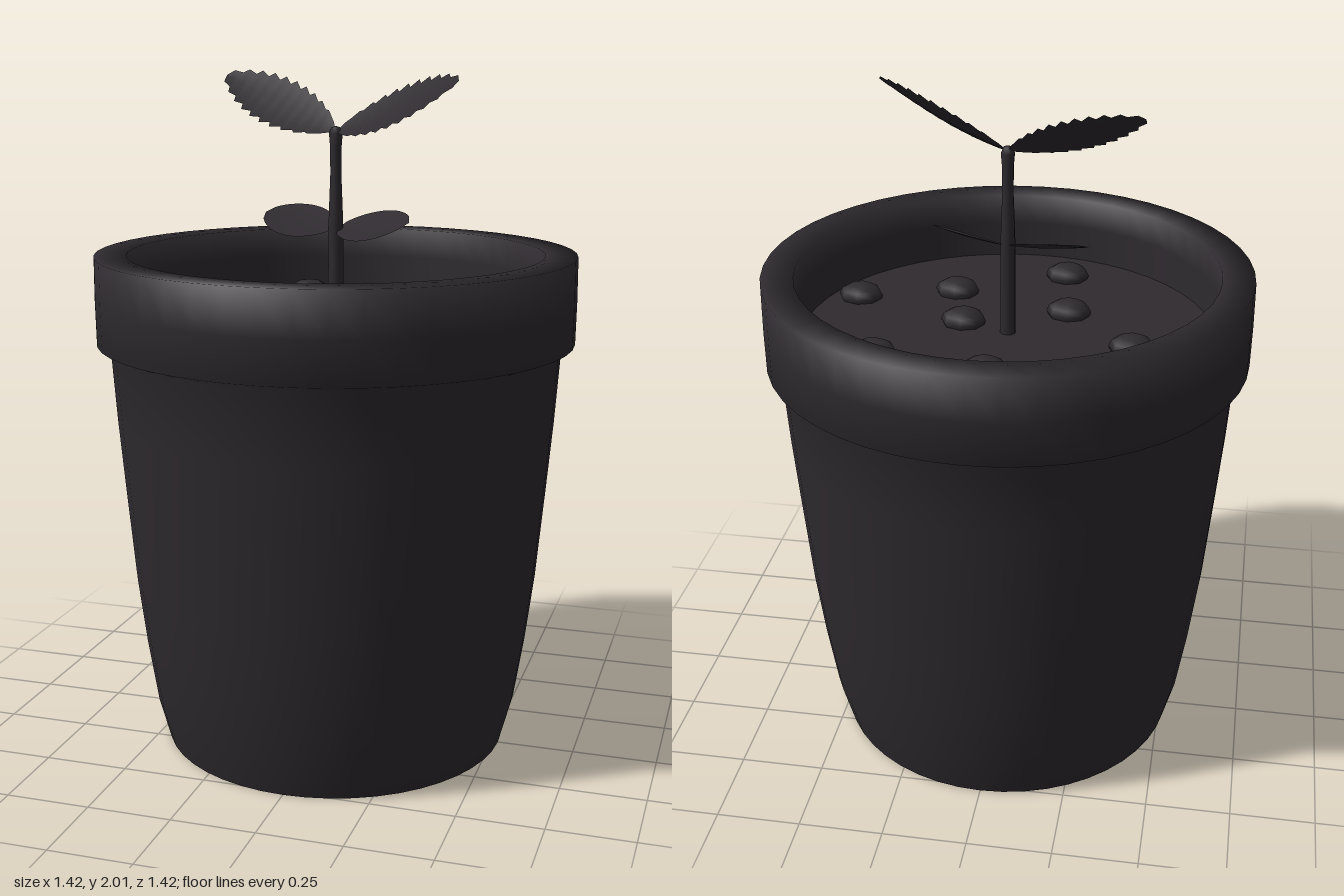
import * as THREE from 'three';

const SOIL_Y = 1.29;
const material = new THREE.MeshStandardMaterial({ color: 0x2e2a2f });
const leafMaterial = new THREE.MeshStandardMaterial({ color: 0x2e2a2f, side: THREE.DoubleSide });

function add(parent, name, geometry, mat = material) {
  const mesh = new THREE.Mesh(geometry, mat);
  mesh.name = name;
  parent.add(mesh);
  return mesh;
}

// Leaf made of rows (edge, midrib, edge) from base to tip; teeth > 0 gives a sawtooth edge.
function leafGeometry(base, tip, halfWidth, { teeth = 0, fullness = 0.6, fold = 0.01 }) {
  const along = tip.clone().sub(base);
  const normal = halfWidth.clone().cross(along).normalize();
  if (normal.y < 0) normal.negate();
  const rows = teeth ? teeth * 2 : 16;
  const positions = [], index = [];
  for (let i = 0; i <= rows; i++) {
    const t = i / rows;
    let width = Math.pow(Math.max(Math.sin(Math.PI * t), 0), fullness);
    let lean = 0;
    if (teeth && i > 0 && i < rows) {
      width *= i % 2 ? 1.06 : 0.86;
      lean = i % 2 ? 0.02 : 0; // teeth point towards the tip
    }
    for (const side of [-1, 0, 1]) {
      const p = base.clone()
        .addScaledVector(along, t + Math.abs(side) * lean)
        .addScaledVector(halfWidth, side * width)
        .addScaledVector(normal, Math.abs(side) * fold * width - fold * Math.sin(Math.PI * t));
      positions.push(p.x, p.y, p.z);
    }
    if (i < rows) {
      for (const c of [0, 1]) {
        const a = i * 3 + c;
        index.push(a, a + 1, a + 3, a + 1, a + 4, a + 3);
      }
    }
  }
  const geometry = new THREE.BufferGeometry();
  geometry.setAttribute('position', new THREE.Float32BufferAttribute(positions, 3));
  geometry.setIndex(index);
  geometry.computeVertexNormals();
  return geometry;
}

export function createModel() {
  const model = new THREE.Group();
  model.name = 'pottedSeedling';

  // Pot: tapered wall, overhanging rim, inner wall down to the soil
  const profile = [
    [0.52, 0], [0.555, 0.13], [0.585, 0.32], [0.61, 0.52], [0.635, 0.8], [0.652, 1.0], [0.667, 1.22],
    [0.706, 1.235], [0.708, 1.36], [0.707, 1.49], [0.613, 1.49], [0.61, 1.4], [0.607, SOIL_Y - 0.02],
  ].map(([r, y]) => new THREE.Vector2(r, y));
  add(model, 'pot', new THREE.LatheGeometry(profile, 48));
  add(model, 'potBase', new THREE.CircleGeometry(0.52, 48).rotateX(Math.PI / 2));

  // Soil and the pebbles half sunk in it
  add(model, 'soil', new THREE.CircleGeometry(0.612, 48).rotateX(-Math.PI / 2)).position.y = SOIL_Y;
  const pebbles = new THREE.Group();
  pebbles.name = 'pebbles';
  model.add(pebbles);
  const spots = [
    [-0.22, -0.43], [0.02, -0.28], [0.35, -0.22], [-0.37, -0.07], [-0.16, 0.15],
    [0.2, 0.26], [0.485, 0.175], [-0.12, 0.43], [0.14, 0.04],
  ];
  for (const [x, z] of spots) {
    const pebble = add(pebbles, 'pebble', new THREE.SphereGeometry(0.068, 8, 6));
    pebble.scale.set(1, 0.55, 0.85);
    pebble.position.set(x, SOIL_Y + 0.012, z);
  }

  // Stem with a small bud on top
  const stem = [
    [0.023, SOIL_Y - 0.02], [0.022, 1.55], [0.02, 1.62], [0.016, 1.72], [0.017, 1.8], [0.02, 1.835], [0.013, 1.852], [0, 1.856],
  ].map(([r, y]) => new THREE.Vector2(r, y));
  add(model, 'stem', new THREE.LatheGeometry(stem, 10));

  // Two pairs of leaves
  const v = (x, y, z) => new THREE.Vector3(x, y, z);
  const upper = { teeth: 11, fullness: 0.65, fold: 0.012 };
  const lower = { fullness: 0.55, fold: 0.006 };
  add(model, 'upperLeafLeft', leafGeometry(v(0, 1.84, 0), v(0.39, 1.99, 0.13), v(-0.01, -0.056, 0.076), upper), leafMaterial);
  add(model, 'upperLeafRight', leafGeometry(v(0, 1.84, 0), v(-0.39, 1.995, -0.15), v(-0.035, -0.054, 0.066), upper), leafMaterial);
  add(model, 'lowerLeafLeft', leafGeometry(v(0.005, 1.56, 0), v(0.235, 1.59, 0.055), v(-0.015, -0.036, 0.08), lower), leafMaterial);
  add(model, 'lowerLeafRight', leafGeometry(v(-0.005, 1.56, 0), v(-0.238, 1.595, -0.06), v(-0.024, -0.036, 0.08), lower), leafMaterial);

  return model;
}
